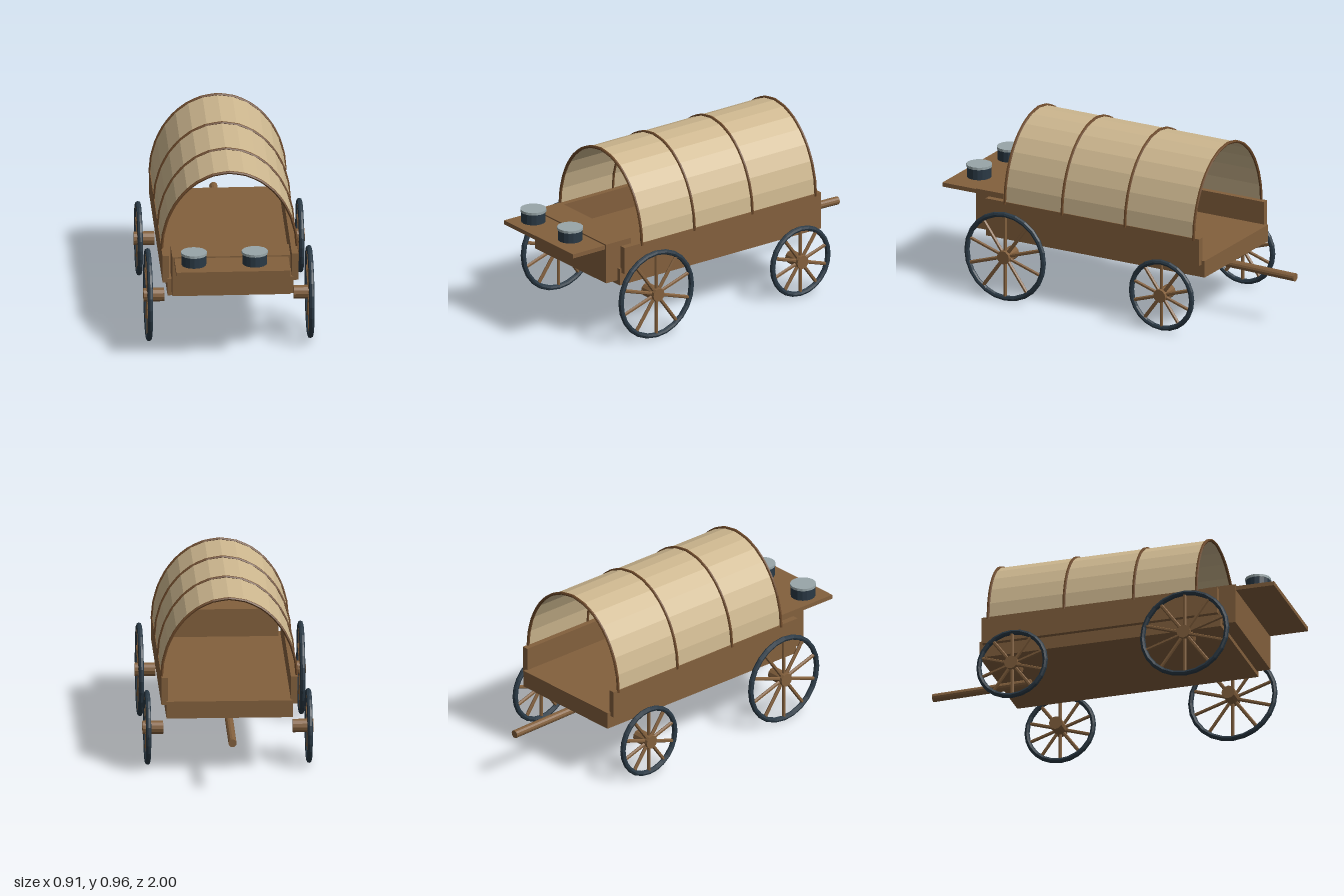
import * as THREE from 'three';

const mat = (name, color, extra = {}) =>
  Object.assign(new THREE.MeshStandardMaterial({ color, flatShading: true, ...extra }), { name });

export function createModel() {
  const wood = mat('wood', 0x83603d);
  const bowWood = mat('dark wood', 0x6b4829);
  const canvas = mat('canvas', 0xcdb78f, { side: THREE.DoubleSide });
  const iron = mat('iron', 0x2a3945);
  const tin = mat('tin', 0x98a6a9);

  const wagon = new THREE.Group();
  wagon.name = 'coveredWagon';

  const add = (name, geometry, material, parent = wagon) => {
    const mesh = new THREE.Mesh(geometry, material);
    mesh.name = name;
    parent.add(mesh);
    return mesh;
  };
  // box given by its extents on each axis
  const box = (name, [x0, x1], [y0, y1], [z0, z1]) => {
    add(name, new THREE.BoxGeometry(x1 - x0, y1 - y0, z1 - z0), wood)
      .position.set((x0 + x1) / 2, (y0 + y1) / 2, (z0 + z1) / 2);
  };

  // wagon bed, side boards, storage box and its fold-out shelf
  box('bed', [-0.337, 0.337], [0.315, 0.408], [-0.635, 0.712]);
  box('leftSideBoard', [0.328, 0.363], [0.385, 0.535], [-0.615, 0.7]);
  box('rightSideBoard', [-0.363, -0.328], [0.385, 0.535], [-0.615, 0.7]);
  box('storageBox', [-0.315, 0.315], [0.338, 0.56], [0.62, 0.787]);
  box('shelf', [-0.305, 0.305], [0.53, 0.553], [0.78, 1]);

  // pots with lids
  for (const x of [-0.205, 0.12]) {
    const pot = new THREE.Group();
    pot.name = 'pot';
    pot.position.set(x, 0.551, 0.88);
    add('potBody', new THREE.CylinderGeometry(0.066, 0.066, 0.06, 16), iron, pot).position.y = 0.03;
    add('potLid', new THREE.CylinderGeometry(0.07, 0.07, 0.014, 16), tin, pot).position.y = 0.067;
    wagon.add(pot);
  }

  // draw pole, sloping gently down from under the bed
  const poleStart = new THREE.Vector3(0, 0.29, -0.45);
  const poleEnd = new THREE.Vector3(0, 0.278, -1);
  const poleDir = poleEnd.clone().sub(poleStart);
  const pole = add('drawPole', new THREE.CylinderGeometry(0.022, 0.022, poleDir.length(), 12), wood);
  pole.position.copy(poleStart).add(poleEnd).multiplyScalar(0.5);
  pole.quaternion.setFromUnitVectors(new THREE.Vector3(0, 1, 0), poleDir.normalize());

  // wheels: iron tyre, ten spokes and a long hub
  const tyreTube = 0.0145;
  const makeWheel = (name, side, y, z, outer) => {
    const wheel = new THREE.Group();
    wheel.name = name;
    const rim = outer - tyreTube;
    add('tyre', new THREE.TorusGeometry(rim, tyreTube, 8, 24).rotateY(Math.PI / 2), iron, wheel);
    for (let i = 0; i < 10; i++) {
      add('spoke', new THREE.CylinderGeometry(0.01, 0.01, rim, 6).translate(0, rim / 2, 0), wood, wheel)
        .rotation.x = (i / 10) * Math.PI * 2;
    }
    add('hub', new THREE.CylinderGeometry(0.037, 0.037, 0.11, 12).rotateZ(Math.PI / 2), wood, wheel)
      .position.x = -side * 0.03;
    wheel.position.set(side * 0.431, y, z);
    wagon.add(wheel);
  };
  for (const side of [1, -1]) {
    const label = side > 0 ? 'left' : 'right';
    makeWheel(`${label}LargeWheel`, side, 0.255, 0.54, 0.25);
    makeWheel(`${label}SmallWheel`, side, 0.208, -0.424, 0.2);
  }

  // arch cross-section shared by the bows and the canvas
  const segments = 14;
  const arch = (a, b, z) => Array.from({ length: segments + 1 }, (_, i) => {
    const t = (i / segments) * Math.PI;
    return new THREE.Vector3(a * Math.cos(t), 0.522 + b * Math.sin(t), z);
  });

  // canvas cover as a strip between two arches
  const ends = [...arch(0.36, 0.437, 0.583), ...arch(0.36, 0.437, -0.58)];
  const index = [];
  for (let i = 0; i < segments; i++) {
    const j = i + segments + 1;
    index.push(i, j, i + 1, i + 1, j, j + 1);
  }
  const cover = new THREE.BufferGeometry().setFromPoints(ends);
  cover.setIndex(index);
  cover.computeVertexNormals();
  add('canvasCover', cover, canvas);

  // wooden bows following the straight facets of the cover
  for (const z of [0.583, 0.231, -0.157, -0.58]) {
    const path = new THREE.CurvePath();
    const points = arch(0.362, 0.439, z);
    for (let i = 0; i < segments; i++) path.add(new THREE.LineCurve3(points[i], points[i + 1]));
    add('bow', new THREE.TubeGeometry(path, segments * 2, 0.0085, 6), bowWood);
  }

  return wagon;
}
